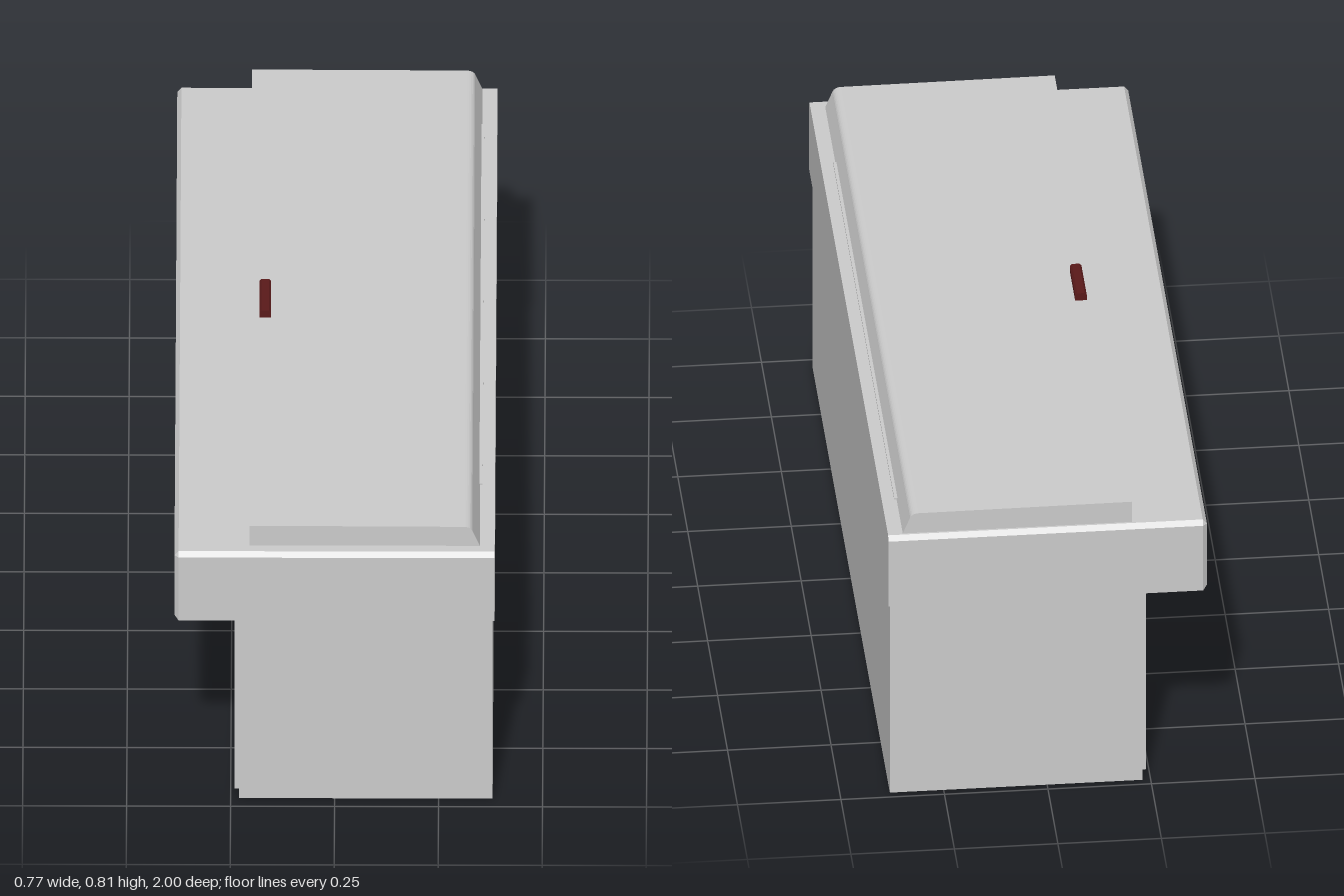
import * as THREE from 'three';
import { ConvexGeometry } from 'three/addons/geometries/ConvexGeometry.js';

export function createModel() {
  const group = new THREE.Group();
  const grey = new THREE.MeshStandardMaterial({ color: 0xcccccc });
  const red = new THREE.MeshStandardMaterial({ color: 0x5a1a1a });

  const add = (name, geometry, material = grey) => {
    const mesh = new THREE.Mesh(geometry, material);
    mesh.name = name;
    group.add(mesh);
    return mesh;
  };
  // Box given by its limits on each axis
  const block = (name, [x0, x1], [y0, y1], [z0, z1], material) => {
    const mesh = add(name, new THREE.BoxGeometry(x1 - x0, y1 - y0, z1 - z0), material);
    mesh.position.set((x0 + x1) / 2, (y0 + y1) / 2, (z0 + z1) / 2);
    return mesh;
  };

  // Cabinet body
  block('cabinet', [-0.23, 0.38], [0, 0.542], [-0.98, 0.965]);

  // Countertop: chamfered around the door side and along the end top edges
  const pts = [];
  for (const s of [-1, 1]) {
    for (const [x, y, z] of [
      [-0.375, 0.735, 0.99], [0.385, 0.735, 0.99],
      [-0.385, 0.55, 0.99], [-0.385, 0.723, 0.99],
      [-0.375, 0.54, 1], [-0.375, 0.723, 1],
      [0.385, 0.54, 1], [0.385, 0.723, 1],
    ]) pts.push(new THREE.Vector3(x, y, z * s));
  }
  add('countertop', new ConvexGeometry(pts));

  // Lid with a rounded, sloping hinge side
  const profile = new THREE.Shape();
  profile.moveTo(-0.205, 0.733);
  profile.lineTo(0.35, 0.733);
  profile.lineTo(0.333, 0.775);
  profile.quadraticCurveTo(0.329, 0.789, 0.312, 0.79);
  profile.lineTo(-0.205, 0.792);
  profile.closePath();
  const lid = new THREE.ExtrudeGeometry(profile, { depth: 1.95, bevelEnabled: false, curveSegments: 6 });
  lid.translate(0, 0, -0.985);
  add('lid', lid);
  block('hingeStrip', [0.343, 0.355], [0.733, 0.74], [-0.83, 0.705]);

  // Two pairs of doors
  const doorSpans = [[-0.96, -0.489], [-0.485, -0.015], [0.01, 0.479], [0.48, 0.95]];
  for (const span of doorSpans) block('door', [-0.241, -0.229], [0.017, 0.541], span);

  // Handle bar: chamfered outer face, lying along z with its back on y = 0
  const bar = new THREE.Shape();
  [[-0.014, 0], [0.014, 0], [0.014, 0.016], [0.009, 0.021], [-0.009, 0.021], [-0.014, 0.016]]
    .forEach(([x, y], i) => (i ? bar.lineTo(x, y) : bar.moveTo(x, y)));
  const barGeometry = new THREE.ExtrudeGeometry(bar, { depth: 0.135, bevelEnabled: false });
  barGeometry.translate(0, 0, -0.0675);

  add('lidHandle', barGeometry, red).position.set(-0.17, 0.791, 0.007);

  // Door handles: the same bar turned upright and facing -x
  const upright = barGeometry.clone().rotateX(Math.PI / 2).rotateY(-Math.PI / 2);
  for (const seam of [-0.492, 0.48]) {
    for (const side of [-1, 1]) {
      add('doorHandle', upright, red).position.set(-0.24, 0.429, seam + side * 0.042);
    }
  }

  return group;
}
